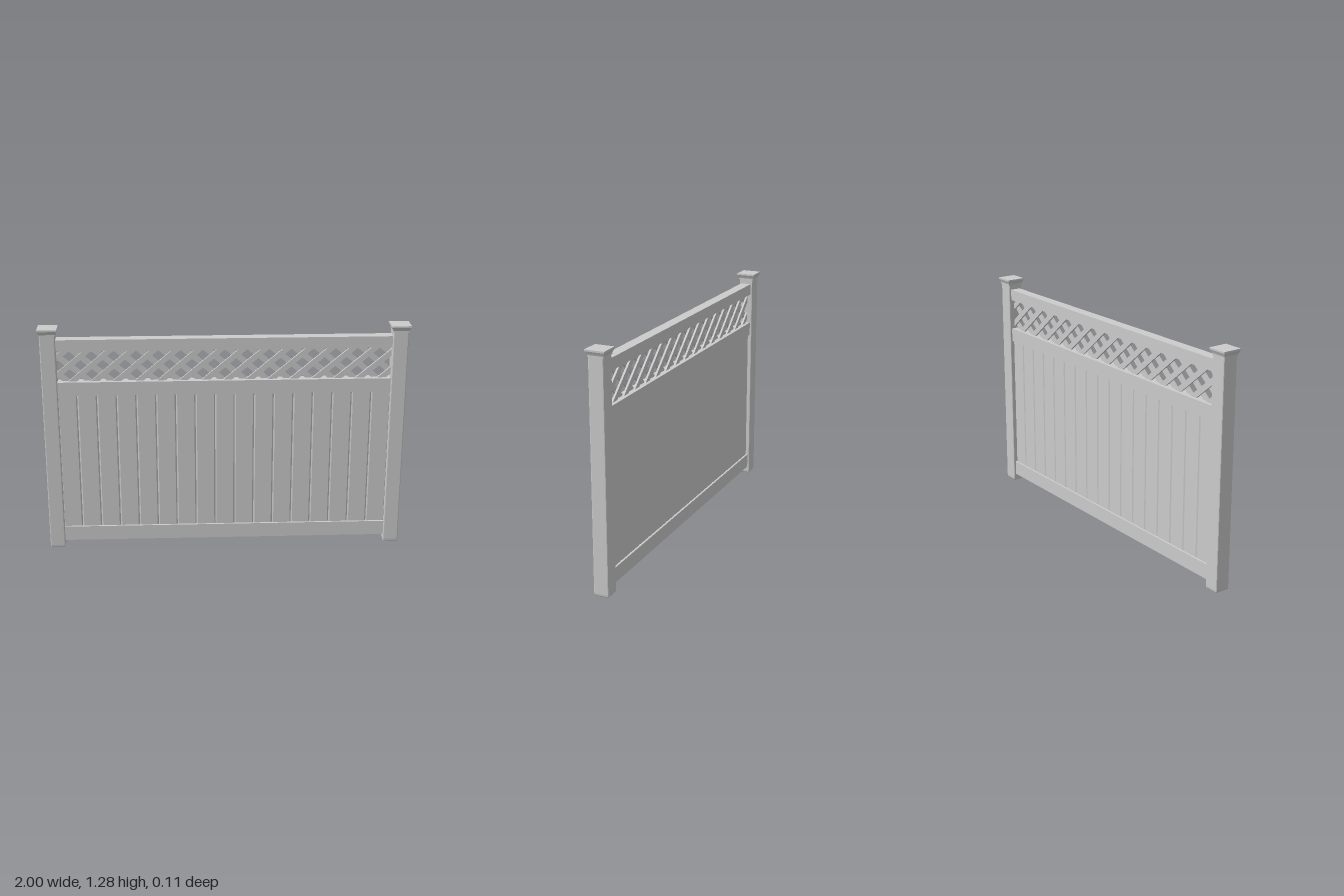
import * as THREE from 'three';

const material = new THREE.MeshStandardMaterial({ color: 0xcccccc });

function add(parent, name, geometry, x = 0, y = 0, z = 0) {
  const mesh = new THREE.Mesh(geometry, material);
  mesh.name = name;
  mesh.position.set(x, y, z);
  parent.add(mesh);
  return mesh;
}

function polygon(points) {
  return new THREE.Shape(points.map(([x, y]) => new THREE.Vector2(x, y)));
}

// Square post with rounded corners and a tapered foot, standing on y = 0
function postGeometry(h, r, height) {
  const s = new THREE.Shape();
  s.moveTo(-h + r, -h);
  s.lineTo(h - r, -h);
  s.quadraticCurveTo(h, -h, h, -h + r);
  s.lineTo(h, h - r);
  s.quadraticCurveTo(h, h, h - r, h);
  s.lineTo(-h + r, h);
  s.quadraticCurveTo(-h, h, -h, h - r);
  s.lineTo(-h, -h + r);
  s.quadraticCurveTo(-h, -h, -h + r, -h);
  const bevel = 0.015;
  const g = new THREE.ExtrudeGeometry(s, {
    depth: height - 2 * bevel, curveSegments: 4,
    bevelThickness: bevel, bevelSize: 0.004, bevelOffset: -0.004, bevelSegments: 2,
  });
  return g.translate(0, 0, bevel).rotateX(-Math.PI / 2);
}

// Flared square cap: a four-sided lathe with its flats facing x and z
function capGeometry() {
  const profile = [[0, 1.243], [0.044, 1.243], [0.044, 1.251], [0.047, 1.258],
    [0.053, 1.27], [0.053, 1.279], [0, 1.28]];
  const g = new THREE.LatheGeometry(
    profile.map(([r, y]) => new THREE.Vector2(r * Math.SQRT2, y)), 4);
  const flat = g.rotateY(Math.PI / 4).toNonIndexed();
  flat.computeVertexNormals();
  return flat;
}

export function createModel() {
  const fence = new THREE.Group();
  fence.name = 'fencePanel';

  // Posts and caps
  for (const side of [1, -1]) {
    const label = side > 0 ? 'left' : 'right';
    add(fence, label + 'Post', postGeometry(0.042, 0.007, 1.265), side * 0.947);
    add(fence, label + 'PostCap', capGeometry(), side * 0.947);
  }

  // Horizontal rails
  for (const [name, y0, y1] of [
    ['bottomRail', 0.04, 0.123], ['middleRail', 0.903, 0.98], ['topRail', 1.155, 1.218],
  ]) {
    add(fence, name, new THREE.BoxGeometry(1.84, y1 - y0, 0.06), 0, (y0 + y1) / 2);
  }

  // Upright boards with chamfered edges that form shallow grooves
  const boards = new THREE.Group();
  boards.name = 'boards';
  fence.add(boards);
  const count = 17, pitch = 1.82 / count, w = pitch / 2, t = 0.019;
  const section = polygon([[-w, -t + 0.004], [-w + 0.007, -t], [w - 0.007, -t], [w, -t + 0.004],
    [w, t - 0.004], [w - 0.007, t], [-w + 0.007, t], [-w, t - 0.004]]);
  const boardGeometry = new THREE.ExtrudeGeometry(section, { depth: 0.82, bevelEnabled: false })
    .rotateX(-Math.PI / 2);
  for (let i = 0; i < count; i++) {
    add(boards, 'board', boardGeometry, (i - (count - 1) / 2) * pitch, 0.1);
  }

  // Lattice: two layers of crossing slats, trimmed inside the rails and posts
  const lattice = new THREE.Group();
  lattice.name = 'lattice';
  fence.add(lattice);
  const yLow = 0.97, yHigh = 1.165, yMid = 1.067;
  const slope = Math.tan(THREE.MathUtils.degToRad(40));
  const half = 0.0235, step = 0.12, limit = 0.93, depth = 0.011;
  for (const dir of [1, -1]) {
    for (let i = -9; i <= 9; i++) {
      const xAt = y => i * step + dir * (y - yMid) / slope;
      const yAt = x => yMid + dir * (x - i * step) * slope;
      const edges = [yAt(-limit), yAt(limit)].sort((a, b) => a - b);
      const y0 = Math.max(yLow, edges[0]), y1 = Math.min(yHigh, edges[1]);
      if (y1 - y0 < 0.01) continue;
      const slat = polygon([[xAt(y0) - half, y0], [xAt(y0) + half, y0],
        [xAt(y1) + half, y1], [xAt(y1) - half, y1]]);
      add(lattice, 'slat', new THREE.ExtrudeGeometry(slat, { depth, bevelEnabled: false }),
        0, 0, dir > 0 ? 0 : -depth);
    }
  }
  return fence;
}
